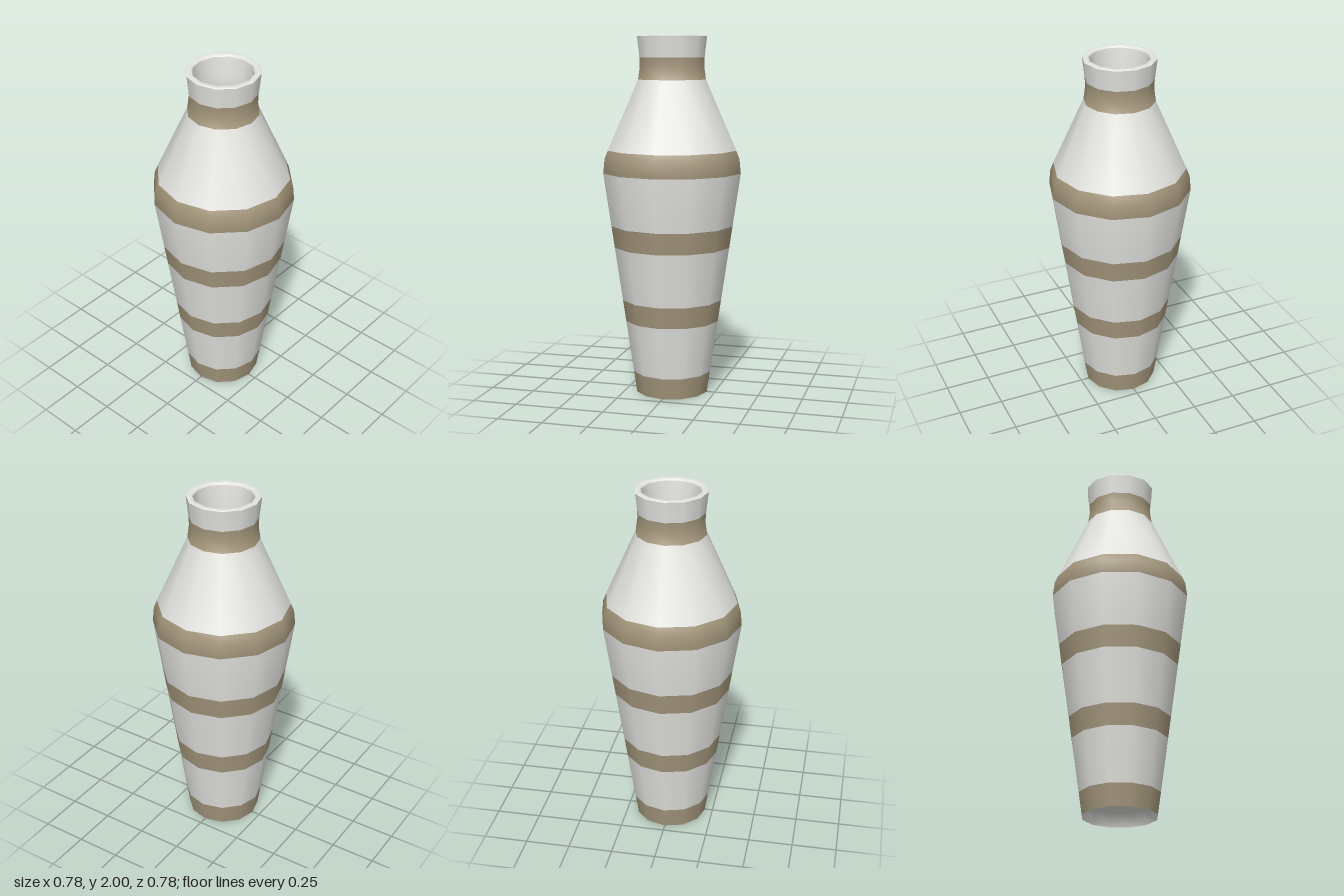
import * as THREE from 'three';

const SIDES = 12;

// Turns a profile, then keeps only the rings from point j0 to j1,
// so neighbouring bands share the smooth normals of the whole curve.
function turnedBand(profile, j0, j1) {
  const points = profile.map(([r, y]) => new THREE.Vector2(r, y));
  const geometry = new THREE.LatheGeometry(points, SIDES);
  const rows = profile.length - 1;
  const index = Array.from(geometry.index.array).filter((_, k) => {
    const j = Math.floor(k / 6) % rows;
    return j >= j0 && j < j1;
  });
  geometry.setIndex(index);
  return geometry;
}

export function createModel() {
  const group = new THREE.Group();
  group.name = 'vase';
  const glaze = new THREE.MeshStandardMaterial({ name: 'pale glaze', color: 0xe4e4e1 });
  const clay = new THREE.MeshStandardMaterial({ name: 'brown clay', color: 0xa5977c });

  const add = (name, profile, material, j0 = 0, j1 = profile.length - 1) => {
    const mesh = new THREE.Mesh(turnedBand(profile, j0, j1), material);
    mesh.name = name;
    group.add(mesh);
  };

  // Outer wall: tapered body, shoulder, neck and flared mouth
  const bodyRadius = (y) => 0.204 + (0.39 - 0.204) * y / 1.25;
  const outer = [
    ...[0, 0.12, 0.415, 0.535, 0.835, 0.955, 1.25].map((y) => [bodyRadius(y), y]),
    [0.382, 1.33], [0.364, 1.375],
    [0.192, 1.76], [0.182, 1.83], [0.184, 1.88], [0.197, 1.995],
  ];
  const bands = [
    ['footBand', 0, 1, clay], ['lowerBody', 1, 2, glaze],
    ['lowerStripe', 2, 3, clay], ['middleBody', 3, 4, glaze],
    ['middleStripe', 4, 5, clay], ['upperBody', 5, 6, glaze],
    ['shoulderStripe', 6, 8, clay], ['shoulder', 8, 9, glaze],
    ['neckStripe', 9, 11, clay], ['mouth', 11, 12, glaze],
  ];
  for (const [name, j0, j1, material] of bands) add(name, outer, material, j0, j1);

  // Rim closing the wall thickness
  add('rim', [[0.197, 1.995], [0.193, 2], [0.168, 2], [0.161, 1.99]], glaze);

  // Hollow inside, from the mouth down to the floor
  add('inside', [
    [0.161, 1.99], [0.148, 1.88], [0.148, 1.82], [0.158, 1.75],
    [0.33, 1.37], [0.352, 1.25], [0.185, 0.12], [0, 0.1],
  ], glaze);

  // Recessed underside
  add('underside', [[0, 0.07], [0.18, 0.07], [0.204, 0]], glaze);

  return group;
}
